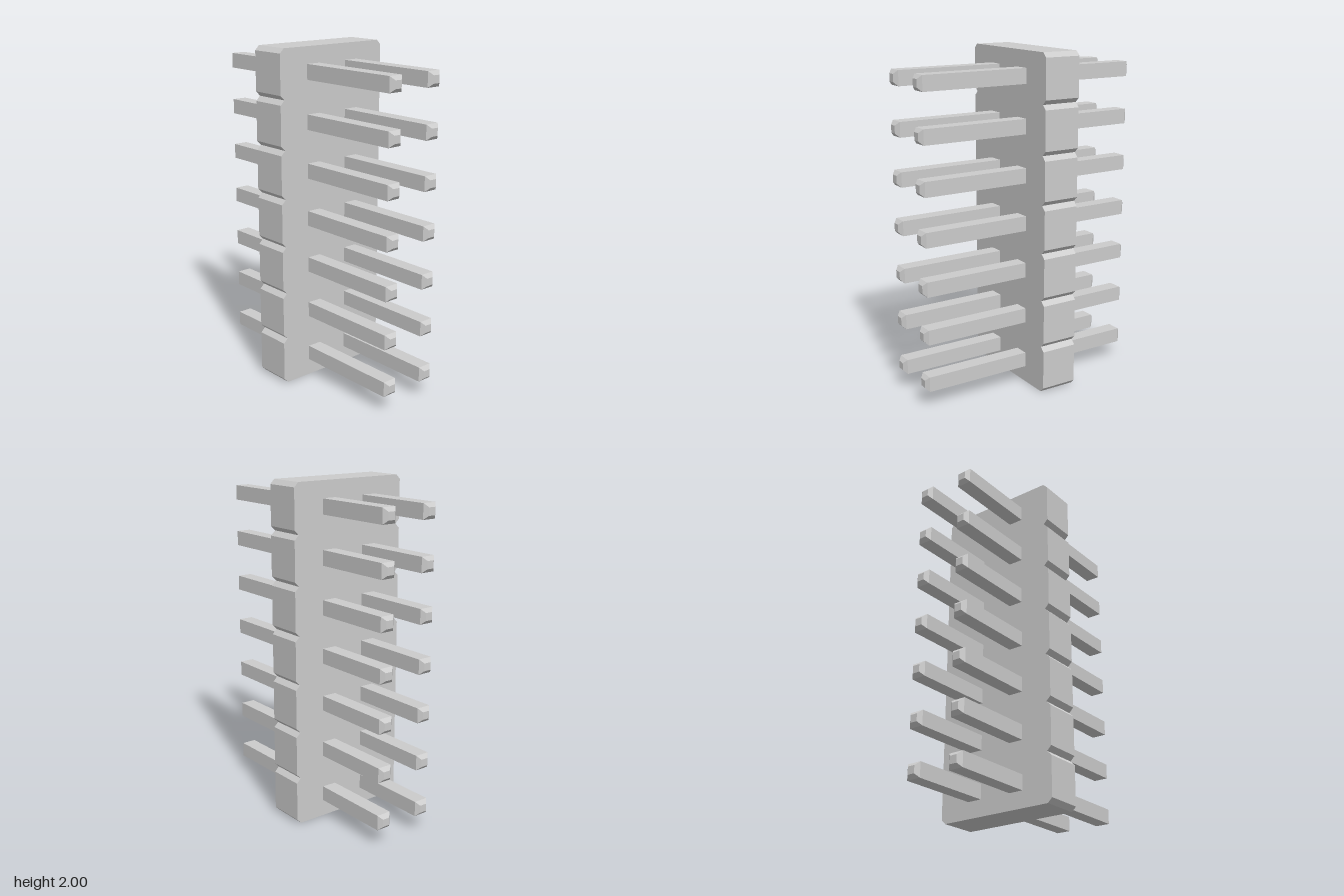
import * as THREE from 'three';

const ROWS = 7, PITCH = 2 / ROWS, HALF_W = 0.38, CUT = 0.027;
const BACK = -0.19, FRONT = 0.033;
const PIN_HALF = 0.0445, TIP_HALF = 0.0225, PIN_END = 0.706;

// Housing outline: one chamfered cell per row, so neighbours form V notches
function housingGeometry() {
  const right = [];
  for (let i = 0; i < ROWS; i++) {
    const y0 = i * PITCH, y1 = y0 + PITCH;
    right.push([HALF_W - CUT, y0], [HALF_W, y0 + CUT], [HALF_W, y1 - CUT]);
  }
  right.push([HALF_W - CUT, 2]);
  const left = right.map(([x, y]) => [-x, y]).reverse();
  const shape = new THREE.Shape([...right, ...left].map(([x, y]) => new THREE.Vector2(x, y)));
  return new THREE.ExtrudeGeometry(shape, { depth: FRONT - BACK, bevelEnabled: false })
    .translate(0, 0, BACK);
}

// Square pin running through the housing, with chamfered tips
function pinGeometry() {
  const h = TIP_HALF, bevel = PIN_HALF - TIP_HALF;
  const shape = new THREE.Shape([[-h, -h], [h, -h], [h, h], [-h, h]].map(([x, y]) => new THREE.Vector2(x, y)));
  const half = PIN_END - bevel;
  return new THREE.ExtrudeGeometry(shape, {
    depth: 2 * half, bevelEnabled: true, bevelSize: bevel, bevelThickness: bevel, bevelSegments: 1,
  }).translate(0, 0, -half);
}

export function createModel() {
  const model = new THREE.Group();
  model.name = 'pinHeader';
  const material = new THREE.MeshStandardMaterial({ color: 0xcccccc, flatShading: true });

  const housing = new THREE.Mesh(housingGeometry(), material);
  housing.name = 'housing';
  model.add(housing);

  // Two columns of pins
  const pinGeo = pinGeometry();
  for (const side of [-1, 1]) {
    const column = new THREE.Group();
    column.name = side > 0 ? 'leftPins' : 'rightPins';
    for (let i = 0; i < ROWS; i++) {
      const pin = new THREE.Mesh(pinGeo, material);
      pin.name = 'pin';
      pin.position.set(side * PITCH / 2, (i + 0.5) * PITCH, 0);
      column.add(pin);
    }
    model.add(column);
  }
  return model;
}
